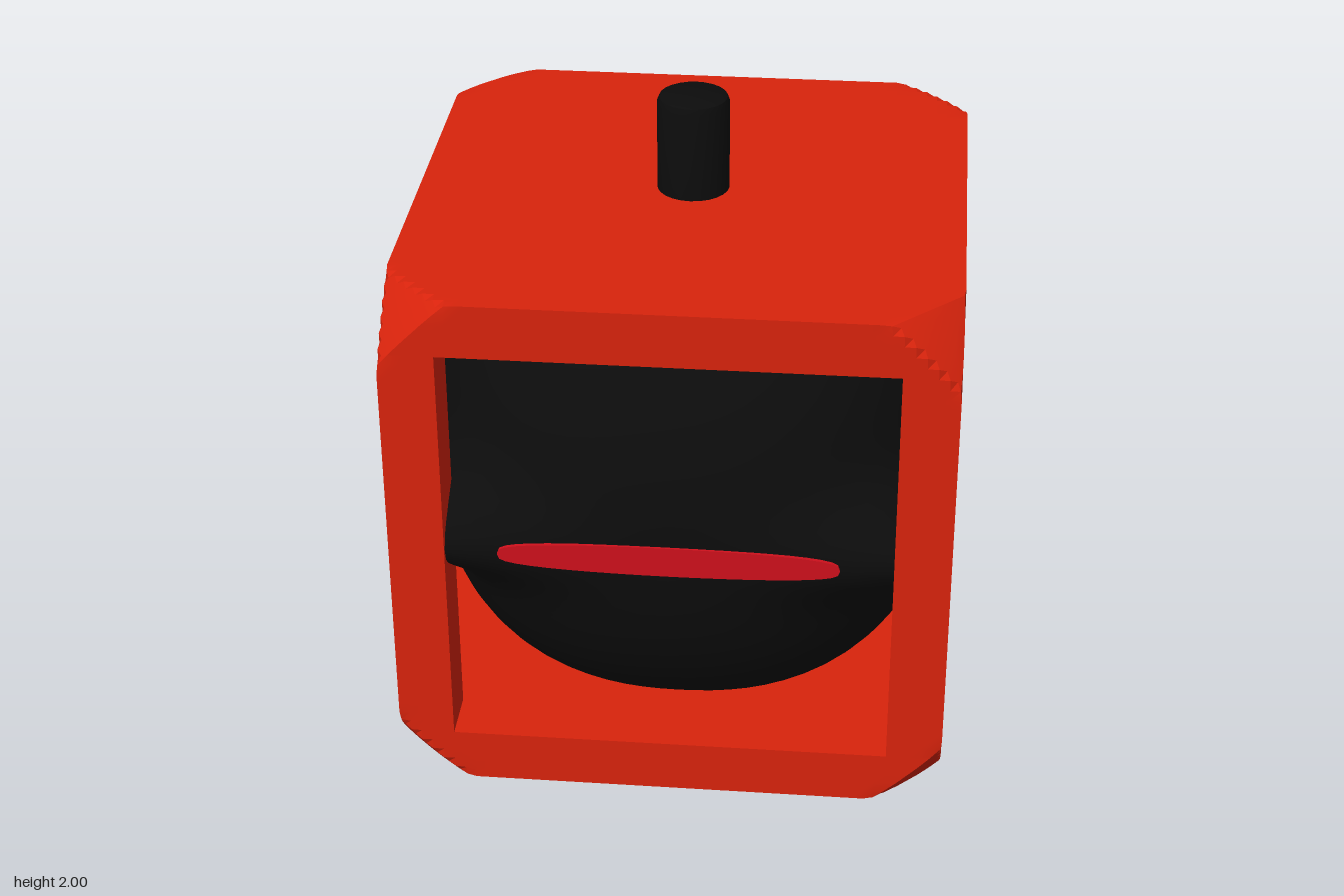
import * as THREE from 'three';
import { mergeVertices, toCreasedNormals } from 'three/addons/utils/BufferGeometryUtils.js';

const HALF = 0.845;      // half the frame's side, also the height of its centre
const BAR = 0.17;        // thickness of plates and pillars
const CORNER = 1.35;     // sphere that trims the eight corners

export function createModel() {
  const model = new THREE.Group();
  const red = new THREE.MeshStandardMaterial({ color: 0xd8230c });
  const black = new THREE.MeshStandardMaterial({ color: 0x0c0c0c });
  const glow = new THREE.MeshStandardMaterial({ color: 0xcf101c });

  const add = (name, geometry, material) => {
    const mesh = new THREE.Mesh(geometry, material);
    mesh.name = name;
    model.add(mesh);
    return mesh;
  };

  // Box whose points are pulled back onto the trimming sphere
  const trimmedBox = (w, h, d, sx, sy, sz, x, y, z) => {
    const g = new THREE.BoxGeometry(w, h, d, sx, sy, sz).translate(x, y, z);
    const p = g.attributes.position;
    const v = new THREE.Vector3();
    for (let i = 0; i < p.count; i++) {
      v.fromBufferAttribute(p, i).clampLength(0, CORNER);
      p.setXYZ(i, v.x, v.y, v.z);
    }
    return toCreasedNormals(g, 0.35).translate(0, HALF, 0);
  };

  // Frame: two solid plates and four pillars
  const off = HALF - BAR / 2;
  for (const [name, s] of [['topPlate', 1], ['bottomPlate', -1]])
    add(name, trimmedBox(2 * HALF, BAR, 2 * HALF, 50, 5, 50, 0, s * off, 0), red);
  for (const sx of [-1, 1])
    for (const sz of [-1, 1])
      add('cornerPillar', trimmedBox(BAR, 2 * (HALF - BAR), BAR, 5, 40, 5, sx * off, 0, sz * off), red);

  // Core: squarish ball whose equator swells out to the four pillars
  const size = 0.84, power = 2.3;
  const outline = (c, s, p) =>
    size / Math.pow(Math.pow(Math.abs(c), p) + Math.pow(Math.abs(s), p), 1 / p);
  const ball = new THREE.SphereGeometry(1, 64, 96);
  const pos = ball.attributes.position;
  for (let i = 0; i < pos.count; i++) {
    const y = pos.getY(i);
    const a = Math.atan2(pos.getZ(i), pos.getX(i));
    const c = Math.cos(a), s = Math.sin(a);
    const ring = Math.pow(Math.sqrt(Math.max(0, 1 - y * y)), 2 / power);
    const height = size * Math.sign(y) * Math.pow(Math.abs(y), 2 / power);
    const swell = Math.exp(-Math.pow(height / 0.15, 2));
    const r = ring * THREE.MathUtils.lerp(outline(c, s, power), outline(c, s, 12), swell);
    pos.setXYZ(i, r * c, height + HALF, r * s);
  }
  ball.deleteAttribute('uv');
  ball.deleteAttribute('normal');
  const core = mergeVertices(ball, 1e-4);
  core.computeVertexNormals();
  add('core', core, black);

  // Narrow glowing slit on each of the four sides
  const points = [];
  for (let i = 0; i < 40; i++) {
    const t = (i / 40) * Math.PI * 2, s = Math.sin(t);
    points.push(new THREE.Vector2(0.515 * Math.cos(t), 0.05 * Math.sign(s) * Math.pow(Math.abs(s), 0.6)));
  }
  const slit = new THREE.ExtrudeGeometry(new THREE.Shape(points), { depth: 0.05, bevelEnabled: false });
  slit.translate(0, 0, 0.796);
  for (let i = 0; i < 4; i++) {
    const mesh = add('glowSlit', slit, glow);
    mesh.position.y = 0.85;
    mesh.rotation.y = (i * Math.PI) / 2;
  }

  // Knob on top
  const profile = [[0.112, 1.6], [0.112, 1.975], [0.105, 1.993], [0.09, 2], [0, 2]]
    .map(([x, y]) => new THREE.Vector2(x, y));
  add('topKnob', toCreasedNormals(new THREE.LatheGeometry(profile, 24), 0.6), black);

  return model;
}
